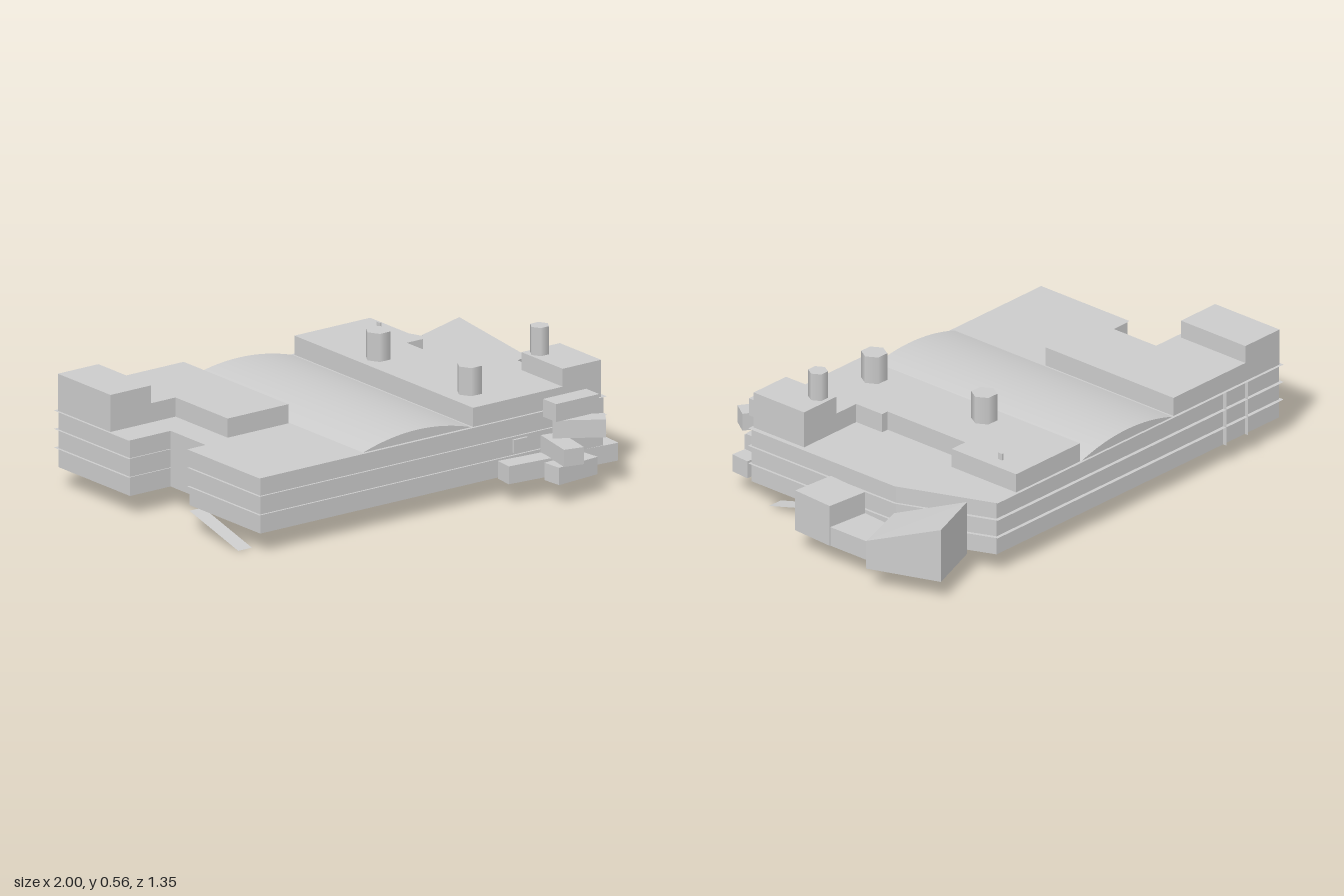
import * as THREE from 'three';
import { toCreasedNormals } from 'three/addons/utils/BufferGeometryUtils.js';

const solid = new THREE.MeshStandardMaterial({ color: 0xcccccc });
const thin = new THREE.MeshStandardMaterial({ color: 0xcccccc, side: THREE.DoubleSide });

export function createModel() {
  const group = new THREE.Group();

  const add = (name, geometry, material = solid) => {
    const mesh = new THREE.Mesh(geometry, material);
    mesh.name = name;
    group.add(mesh);
    return mesh;
  };

  // Plan outlines are lists of [x, z]; the shape lies in x and -z
  const plan = (points) => new THREE.Shape(points.map(([x, z]) => new THREE.Vector2(x, -z)));

  const prism = (name, outline, y0, y1, holes = []) => {
    const shape = plan(outline);
    shape.holes = holes.map(plan);
    const geometry = new THREE.ExtrudeGeometry(shape, { depth: y1 - y0, bevelEnabled: false });
    return add(name, geometry.rotateX(-Math.PI / 2).translate(0, y0, 0));
  };

  const rect = (x0, x1, z0, z1) => [[x0, z1], [x1, z1], [x1, z0], [x0, z0]];

  // Main building, with long service slots in the underside
  const slots = [[-0.3, -0.22], [-0.14, -0.07], [0.02, 0.07]].map(([x0, x1]) => rect(x0, x1, -0.5, 0.4));
  prism('building', [
    [-0.99, -0.66], [-0.99, -0.22], [-0.8, -0.22], [-0.8, 0], [-0.88, 0],
    [-0.88, 0.435], [0.73, 0.435], [0.73, -0.29], [0.58, -0.66],
  ], 0.08, 0.298, slots);

  // Thin floor plates that stand slightly proud of the walls
  const plate = plan([
    [-1, -0.675], [-1, -0.215], [-0.8, -0.215], [-0.8, 0], [-0.89, 0],
    [-0.89, 0.443], [0.74, 0.443], [0.74, -0.29], [0.59, -0.675],
  ]);
  for (const y of [0.155, 0.228, 0.3]) {
    add('floorPlate', new THREE.ShapeGeometry(plate).rotateX(-Math.PI / 2).translate(0, y, 0), thin);
  }

  // Vertical fins on the back wall
  for (const x of [-0.8, -0.68]) {
    const fin = add('backFin', new THREE.PlaneGeometry(0.02, 0.22), thin);
    fin.rotation.y = Math.PI / 2;
    fin.position.set(x, 0.19, -0.667);
  }

  // Arched roof
  const arch = new THREE.Shape();
  arch.moveTo(-0.4, 0.298);
  arch.lineTo(0.12, 0.298);
  arch.quadraticCurveTo(-0.14, 0.382, -0.4, 0.298);
  const archGeometry = new THREE.ExtrudeGeometry(arch, { depth: 1.095, bevelEnabled: false, curveSegments: 16 });
  add('archedRoof', toCreasedNormals(archGeometry.translate(0, 0, -0.665), 0.25));

  // Raised roof storeys
  prism('westStorey', [
    [-0.8, -0.663], [-0.8, -0.34], [-0.685, -0.34], [-0.685, -0.02], [-0.4, -0.02], [-0.4, -0.663],
  ], 0.298, 0.375);
  prism('westTower', rect(-0.99, -0.8, -0.663, -0.34), 0.298, 0.445);
  prism('eastStorey', [
    [0.12, -0.663], [0.12, 0.433], [0.72, 0.433], [0.72, 0.18], [0.43, 0.18],
    [0.43, 0.05], [0.4, 0.05], [0.4, -0.34], [0.475, -0.34], [0.475, -0.663],
  ], 0.298, 0.375);
  prism('eastTower', rect(0.54, 0.72, 0.18, 0.433), 0.298, 0.445);

  // Six-sided chimneys
  for (const [x, z, y, r] of [[0.205, -0.26, 0.375, 0.05], [0.225, 0.275, 0.375, 0.05], [0.587, 0.23, 0.445, 0.038]]) {
    const chimney = add('chimney', new THREE.CylinderGeometry(r, r, 0.11, 6));
    chimney.rotation.y = Math.PI / 6;
    chimney.position.set(x, y + 0.055, z);
  }
  prism('roofVent', rect(0.415, 0.423, -0.545, -0.525), 0.375, 0.402);

  // Sloping ramps under the front
  for (const x of [-0.89, 0.688]) {
    const ramp = add('ramp', new THREE.PlaneGeometry(0.064, Math.hypot(0.08, 0.3)), thin);
    ramp.rotation.x = -Math.PI / 2 + Math.atan2(0.08, 0.3);
    ramp.position.set(x, 0.04, 0.205);
  }

  // Side annex with a roof that falls away from its back wall
  const annex = prism('slopedAnnex', [[0.65, -0.575], [0.75, -0.3], [0.995, -0.38], [0.893, -0.663]], 0.08, 0.295);
  const position = annex.geometry.attributes.position;
  for (let i = 0; i < position.count; i++) {
    if (position.getY(i) > 0.2 && position.getZ(i) > -0.45) position.setY(i, 0.195);
  }
  annex.geometry.computeVertexNormals();
  prism('lowAnnex', [[0.78, -0.345], [0.765, -0.165], [0.94, -0.15], [0.94, -0.335]], 0.08, 0.157);
  prism('sideAnnex', [[0.765, -0.167], [0.748, 0.02], [0.93, 0.035], [0.943, -0.15]], 0.08, 0.245);

  // Stacked blocks at the front
  const blocks = [
    [[[0.225, 0.447], [0.217, 0.525], [0.405, 0.542], [0.415, 0.463]], 0.08, 0.15],
    [[[0.53, 0.447], [0.527, 0.53], [0.715, 0.545], [0.722, 0.463]], 0.08, 0.15],
    [[[0.353, 0.565], [0.36, 0.647], [0.555, 0.628], [0.547, 0.55]], 0.08, 0.148],
    [[[0.42, 0.455], [0.38, 0.65], [0.46, 0.668], [0.5, 0.47]], 0.148, 0.215],
    [[[0.49, 0.447], [0.49, 0.53], [0.65, 0.535], [0.655, 0.453]], 0.15, 0.215],
    [[[0.475, 0.455], [0.43, 0.515], [0.597, 0.625], [0.64, 0.562]], 0.215, 0.285],
    [[[0.43, 0.457], [0.43, 0.537], [0.632, 0.537], [0.632, 0.457]], 0.285, 0.355],
  ];
  for (const [outline, y0, y1] of blocks) prism('stackedBlock', outline, y0, y1);
  prism('wallPanel', rect(0.302, 0.368, 0.43, 0.445), 0.165, 0.215);

  return group;
}
